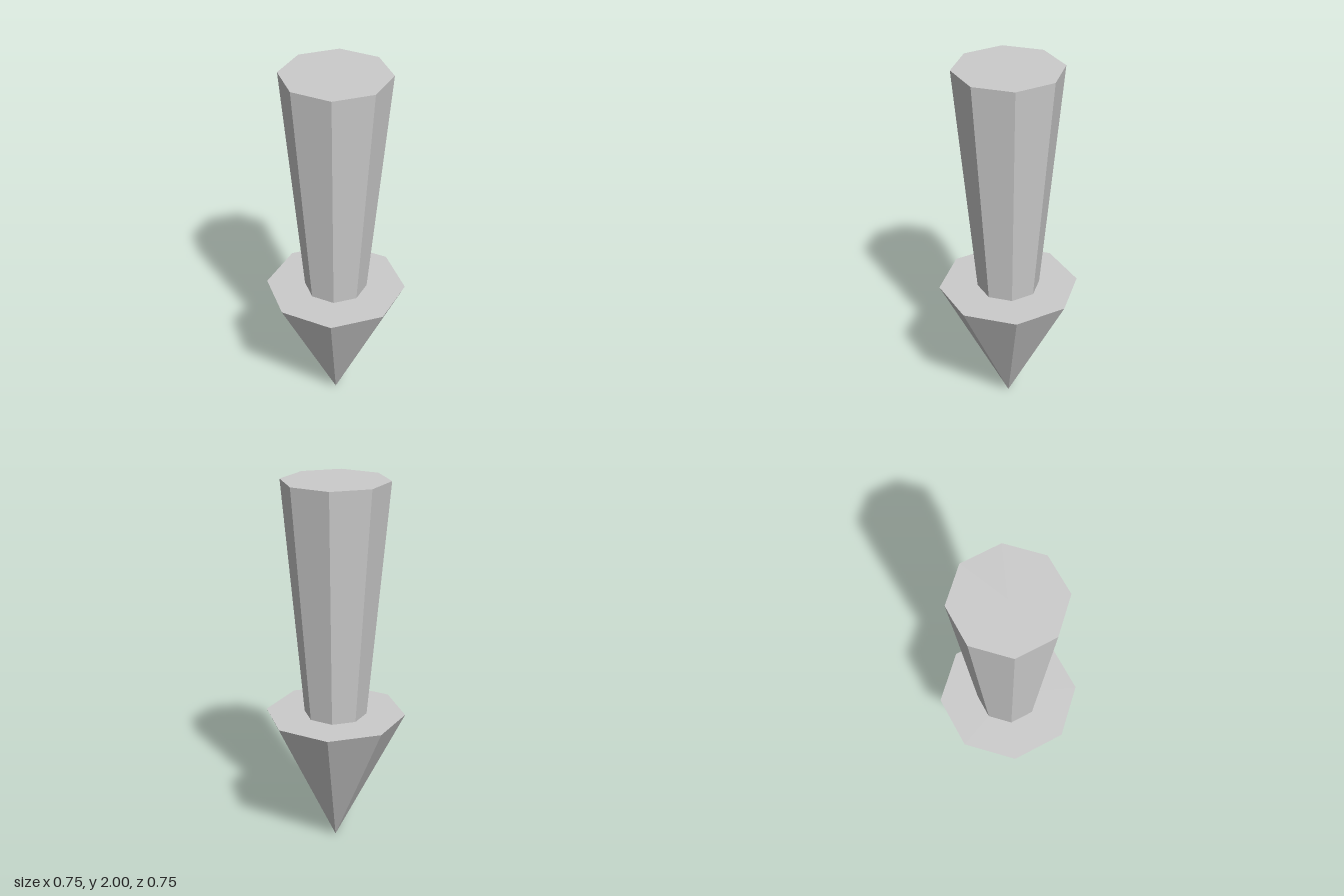
import * as THREE from 'three';

const SIDES = 8;
const TIP_HEIGHT = 0.75;
const TOTAL_HEIGHT = 2;

export function createModel() {
  const group = new THREE.Group();
  group.name = 'downArrow';
  const material = new THREE.MeshStandardMaterial({ color: 0xcccccc, flatShading: true });

  // Tapered octagonal part standing between two heights
  function addPart(name, topRadius, bottomRadius, y0, y1) {
    const geometry = new THREE.CylinderGeometry(topRadius, bottomRadius, y1 - y0, SIDES);
    const mesh = new THREE.Mesh(geometry, material);
    mesh.name = name;
    mesh.position.y = (y0 + y1) / 2;
    group.add(mesh);
  }

  // Arrowhead pointing down, with a flat top
  addPart('arrowhead', 0.373, 0, 0, TIP_HEIGHT);
  // Shaft widening towards the top
  addPart('shaft', 0.279, 0.167, TIP_HEIGHT, TOTAL_HEIGHT);

  return group;
}
